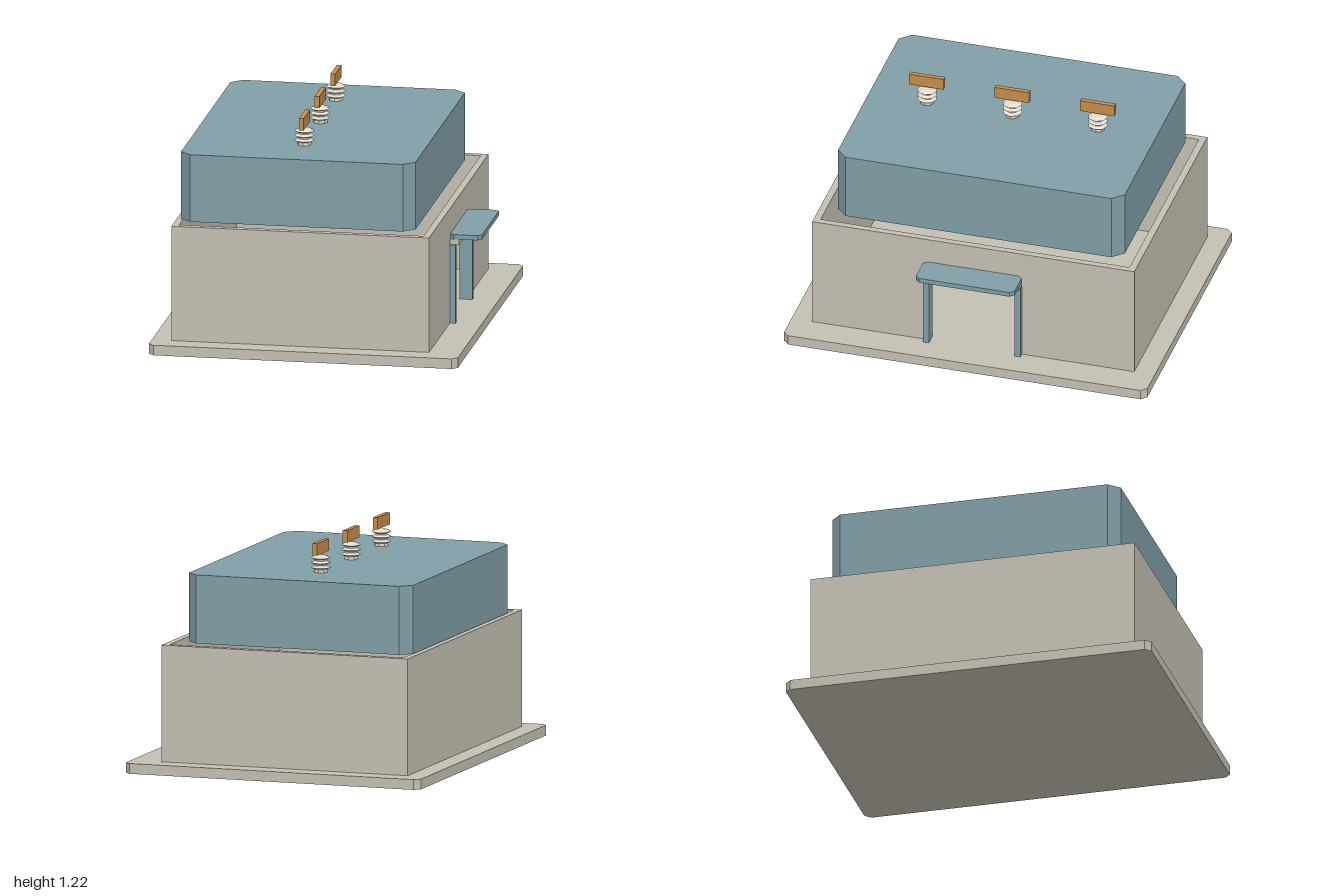
import * as THREE from 'three';

const mat = (name, color) => {
  const m = new THREE.MeshStandardMaterial({ color });
  m.name = name;
  return m;
};

export function createModel() {
  const stone = mat('warm grey stone', 0xc5c0b3);
  const blue = mat('slate blue', 0x819ea7);
  const cream = mat('cream ceramic', 0xe2dbcf);
  const copper = mat('copper', 0xc68d4a);
  const model = new THREE.Group();
  model.name = 'utilityBuilding';

  const add = (name, geometry, material, parent = model) => {
    const mesh = new THREE.Mesh(geometry, material);
    mesh.name = name;
    parent.add(mesh);
    return mesh;
  };

  // Box given by its limits on each axis
  const box = (name, [x0, x1], [y0, y1], [z0, z1], material, parent) =>
    add(name, new THREE.BoxGeometry(x1 - x0, y1 - y0, z1 - z0)
      .translate((x0 + x1) / 2, (y0 + y1) / 2, (z0 + z1) / 2), material, parent);

  // Flat slab with cut vertical corners
  const slab = (name, [x0, x1], [y0, y1], [z0, z1], c, material, parent) => {
    const shape = new THREE.Shape([
      [x0 + c, z0], [x1 - c, z0], [x1, z0 + c], [x1, z1 - c],
      [x1 - c, z1], [x0 + c, z1], [x0, z1 - c], [x0, z0 + c],
    ].map(([x, z]) => new THREE.Vector2(x, -z)));
    const geometry = new THREE.ExtrudeGeometry(shape, { depth: y1 - y0, bevelEnabled: false });
    return add(name, geometry.rotateX(-Math.PI / 2).translate(0, y0, 0), material, parent);
  };

  // Base and raised roof block
  slab('base', [-0.83, 0.83], [0, 0.055], [-1, 1], 0.03, stone);
  slab('roofBlock', [-0.7, 0.56], [0.683, 1.05], [-0.79, 0.79], 0.058, blue);

  // Hollow enclosure, open at the top
  const walls = new THREE.Group();
  walls.name = 'walls';
  model.add(walls);
  const height = [0.055, 0.68];
  box('frontWall', [-0.725, 0.66], height, [0.85, 0.887], stone, walls);
  box('backWall', [-0.725, 0.66], height, [-0.887, -0.85], stone, walls);
  box('rightWall', [-0.725, -0.689], height, [-0.85, 0.85], stone, walls);

  // Wall with the doorway
  const outline = new THREE.Shape([
    [-0.85, 0.055], [-0.25, 0.055], [-0.25, 0.485], [0.25, 0.485],
    [0.25, 0.055], [0.85, 0.055], [0.85, 0.68], [-0.85, 0.68],
  ].map(([z, y]) => new THREE.Vector2(z, y)));
  add('doorwayWall', new THREE.ExtrudeGeometry(outline, { depth: 0.036, bevelEnabled: false })
    .rotateY(Math.PI / 2).translate(0.624, 0, 0), stone, walls);

  // Door posts, lintel and canopy
  const doorway = new THREE.Group();
  doorway.name = 'doorway';
  model.add(doorway);
  for (const s of [-1, 1]) {
    const z = s * 0.252;
    box('doorPost', [0.62, 0.69], [0.055, 0.483], [z - 0.017, z + 0.017], blue, doorway);
  }
  box('lintel', [0.65, 0.71], [0.484, 0.514], [-0.265, 0.265], stone, doorway);
  slab('canopy', [0.66, 0.83], [0.515, 0.541], [-0.272, 0.272], 0.022, blue, doorway);

  // Ribbed insulators, each with a contact bar above
  const profile = [[0, 1.05], [0.038, 1.05], [0.038, 1.066]];
  for (let i = 0; i < 3; i++) {
    const y = 1.066 + i * 0.026;
    profile.push([0.034, y], [0.054, y + 0.009], [0.034, y + 0.019]);
  }
  profile.push([0.03, 1.139], [0, 1.139]);
  const ribbed = new THREE.LatheGeometry(profile.map(([r, y]) => new THREE.Vector2(r, y)), 8)
    .toNonIndexed();
  ribbed.computeVertexNormals();
  for (const z of [-0.47, 0, 0.47]) {
    const terminal = new THREE.Group();
    terminal.name = 'terminal';
    terminal.position.set(-0.085, 0, z);
    model.add(terminal);
    add('insulator', ribbed, cream, terminal);
    box('contactBar', [-0.013, 0.013], [1.151, 1.215], [-0.095, 0.095], copper, terminal);
  }
  return model;
}
